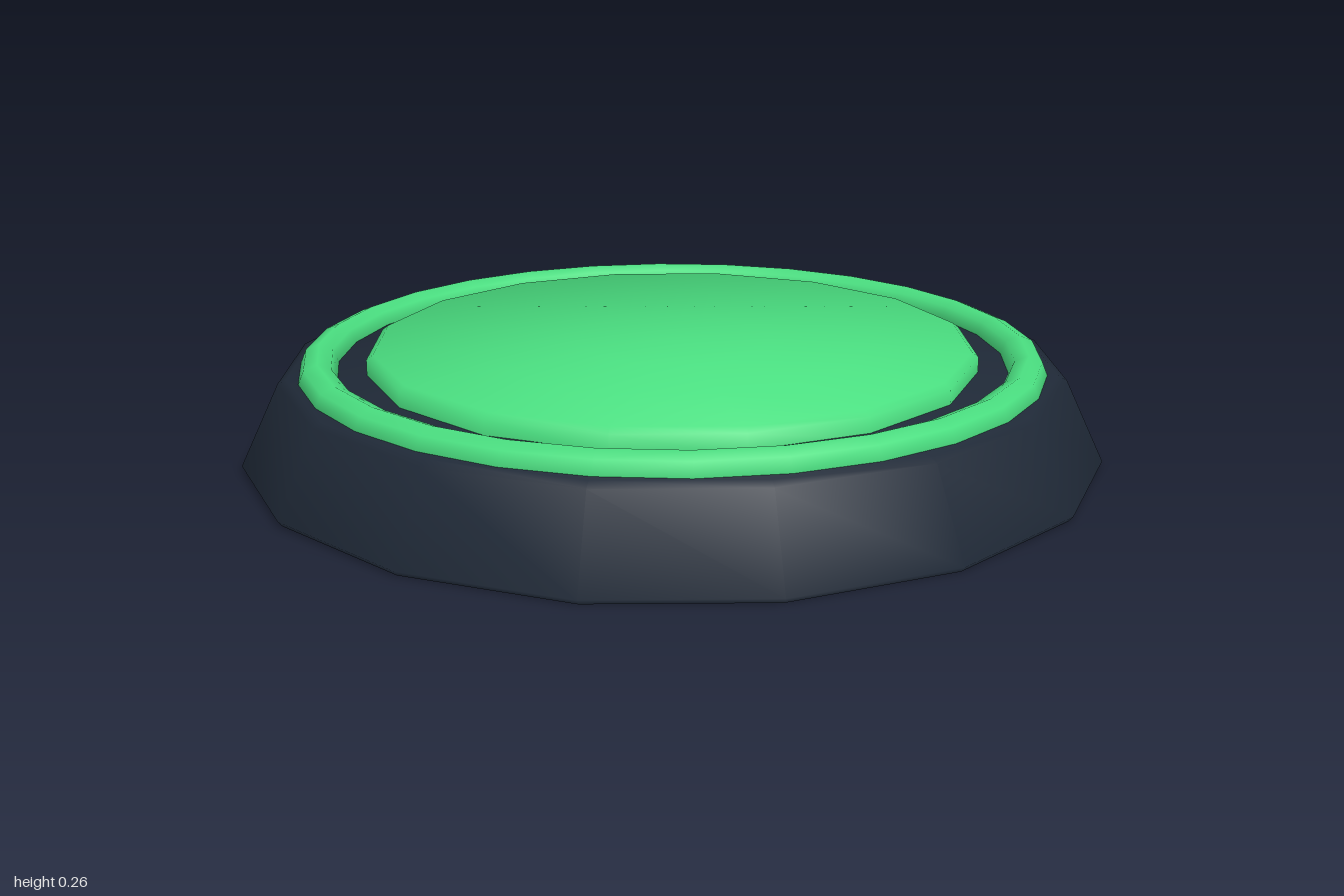
import * as THREE from 'three';

const SIDES = 16;

// Lathe from rows of [radius, y, normalOut, normalUp]; soft normals roll over the edges.
function softLathe(name, rows, material) {
  const geo = new THREE.LatheGeometry(rows.map(([r, y]) => new THREE.Vector2(r, y)), SIDES);
  const normal = geo.attributes.normal;
  const n = new THREE.Vector3();
  for (let i = 0; i < normal.count; i++) {
    const [, , out, up] = rows[i % rows.length];
    const a = Math.floor(i / rows.length) / SIDES * Math.PI * 2;
    n.set(out * Math.sin(a), up, out * Math.cos(a)).normalize();
    normal.setXYZ(i, n.x, n.y, n.z);
  }
  const mesh = new THREE.Mesh(geo, material);
  mesh.name = name;
  return mesh;
}

// Flat cap from centre to rim, its normals leaning outward evenly towards the rim.
function cap(radius, y, out, up) {
  return [0, 0.33, 0.67, 1].map((t) => [radius * t, y, out * t, up]);
}

export function createModel() {
  const group = new THREE.Group();
  group.name = 'pressurePad';
  const navy = new THREE.MeshStandardMaterial({ color: 0x1f2937 });
  navy.name = 'darkNavy';
  const green = new THREE.MeshStandardMaterial({ color: 0x4ade80 });
  green.name = 'brightGreen';

  // Tapered base with a thin foot and a small bevel at the top
  group.add(softLathe('base', [
    ...cap(0.99, 0, 0.89, -0.45),
    [1, 0.012, 0.95, 0.2],
    [0.91, 0.2, 0.85, 0.53],
    ...cap(0.89, 0.21, 0.5, 0.85).reverse(),
  ], navy));

  // Raised centre plate
  group.add(softLathe('centrePlate', [
    [0.71, 0.2, 1, 0],
    [0.71, 0.245, 0.83, 0.55],
    ...cap(0.695, 0.256, 0.55, 0.83).reverse(),
  ], green));

  // Rim ring, half sunk into the base
  const ring = new THREE.Mesh(new THREE.TorusGeometry(0.822, 0.044, 8, 28), green);
  ring.name = 'rimRing';
  ring.rotation.set(-Math.PI / 2, 0, Math.PI / 2);
  ring.position.y = 0.209;
  group.add(ring);

  return group;
}
